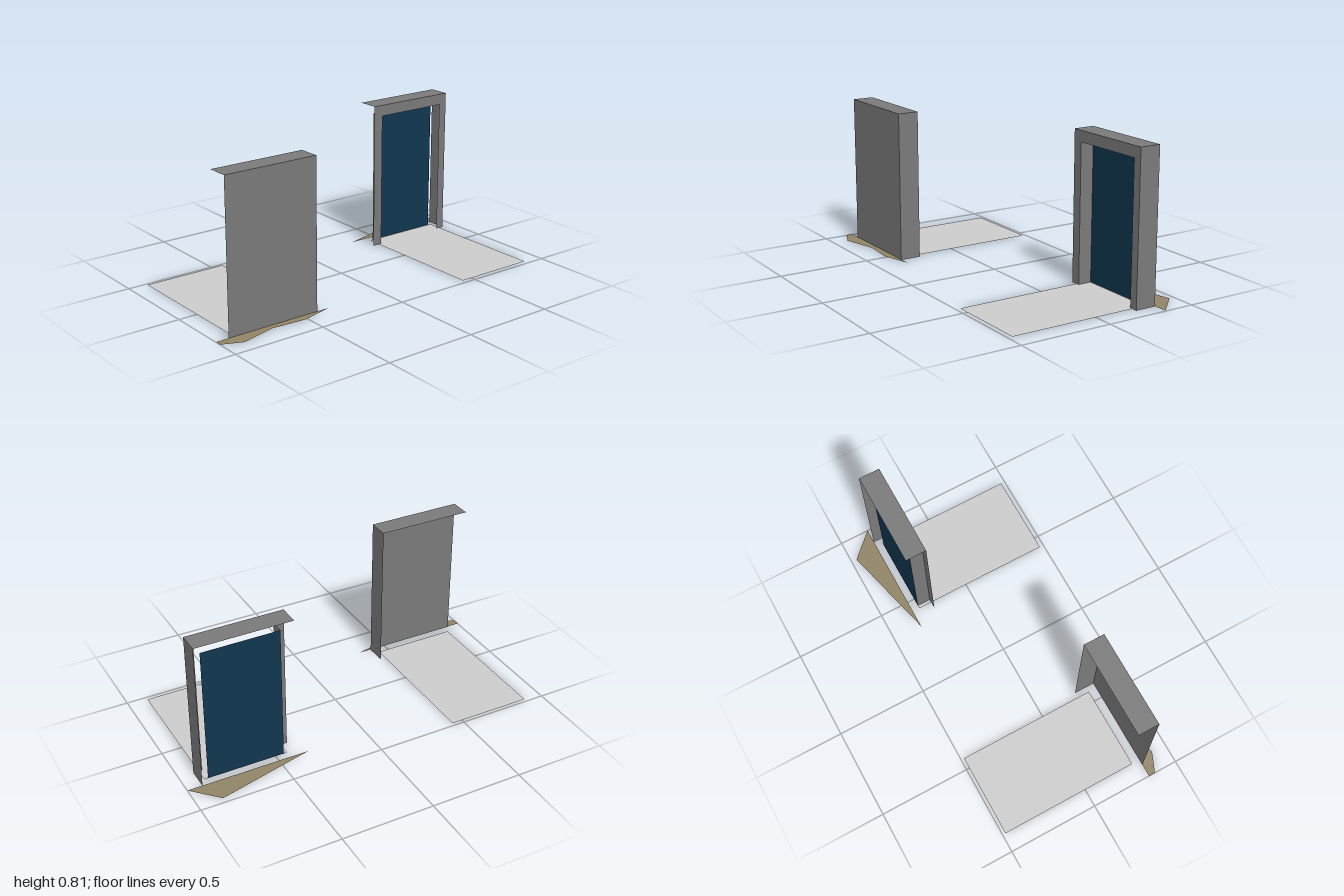
import * as THREE from 'three';

const mat = (name, color) => {
  const m = new THREE.MeshStandardMaterial({ color, side: THREE.DoubleSide });
  m.name = name;
  return m;
};

export function createModel() {
  const stone = mat('stone grey', 0x7a7a7a);
  const blue = mat('door blue', 0x10364f);
  const light = mat('pale floor', 0xcccccc);
  const earth = mat('earth tan', 0x918566);

  // Flat outline in the plane of the front
  const outline = (pts) =>
    new THREE.ShapeGeometry(new THREE.Shape(pts.map(([x, y]) => new THREE.Vector2(x, y))));
  const rect = (x0, x1, y0, y1) => outline([[x0, y0], [x1, y0], [x1, y1], [x0, y1]]);

  const add = (group, name, geometry, material) => {
    const mesh = new THREE.Mesh(geometry, material);
    mesh.name = name;
    group.add(mesh);
  };
  // Upright sheet facing +z
  const facing = (geo, z) => geo.translate(0, 0, z);
  // Upright sheet facing +x, spanning z0..z1
  const sideways = (x, z0, z1, y1) => rect(-z1, -z0, 0, y1).rotateY(Math.PI / 2).translate(x, 0, 0);
  // Level sheet facing up; outline given as x, z
  const level = (pts, y) => outline(pts.map(([x, z]) => [x, -z])).rotateX(-Math.PI / 2).translate(0, y, 0);
  const levelRect = (x0, x1, z0, z1, y) => level([[x0, z0], [x1, z0], [x1, z1], [x0, z1]], y);

  const H = 0.805;

  // Top and one outer side shared by both doorways; the other sides are open
  const shell = (group, x0, x1, z0, z1) => {
    add(group, 'topSlab', levelRect(x0, x1, z0, z1, H), stone);
    add(group, 'outerSide', sideways(x1, z0, z1, H), stone);
  };

  // Doorway seen from its closed side
  const closed = new THREE.Group();
  closed.name = 'closedDoorway';
  shell(closed, -0.93, -0.41, 0.22, 0.335);
  add(closed, 'frontWall', facing(rect(-0.93, -0.41, 0, H), 0.335), stone);
  add(closed, 'floorSheet', levelRect(-0.9, -0.44, -0.483, 0.29, 0.002), light);
  add(closed, 'earthPatch', level([[-1, 0.335], [-1, 0.372], [-0.893, 0.418], [-0.7, 0.367],
    [-0.517, 0.38], [-0.34, 0.335]], 0.002), earth);

  // Doorway with opening and recessed door
  const open = new THREE.Group();
  open.name = 'openDoorway';
  shell(open, 0.4, 0.92, -0.335, -0.22);
  add(open, 'doorFrame', facing(outline([[0.4, 0], [0.455, 0], [0.455, 0.745], [0.873, 0.745],
    [0.873, 0], [0.92, 0], [0.92, H], [0.4, H]]), -0.22), stone);
  add(open, 'innerJamb', sideways(0.455, -0.295, -0.22, 0.745), stone);
  add(open, 'doorPanel', facing(rect(0.455, 0.873, 0.003, 0.745), -0.295), blue);
  add(open, 'floorSheet', levelRect(0.437, 0.893, -0.295, 0.477, 0.002), light);
  add(open, 'earthPatch', level([[0.335, -0.335], [0.87, -0.47], [1, -0.335]], 0.002), earth);

  const model = new THREE.Group();
  model.name = 'doorways';
  model.add(closed, open);
  return model;
}
